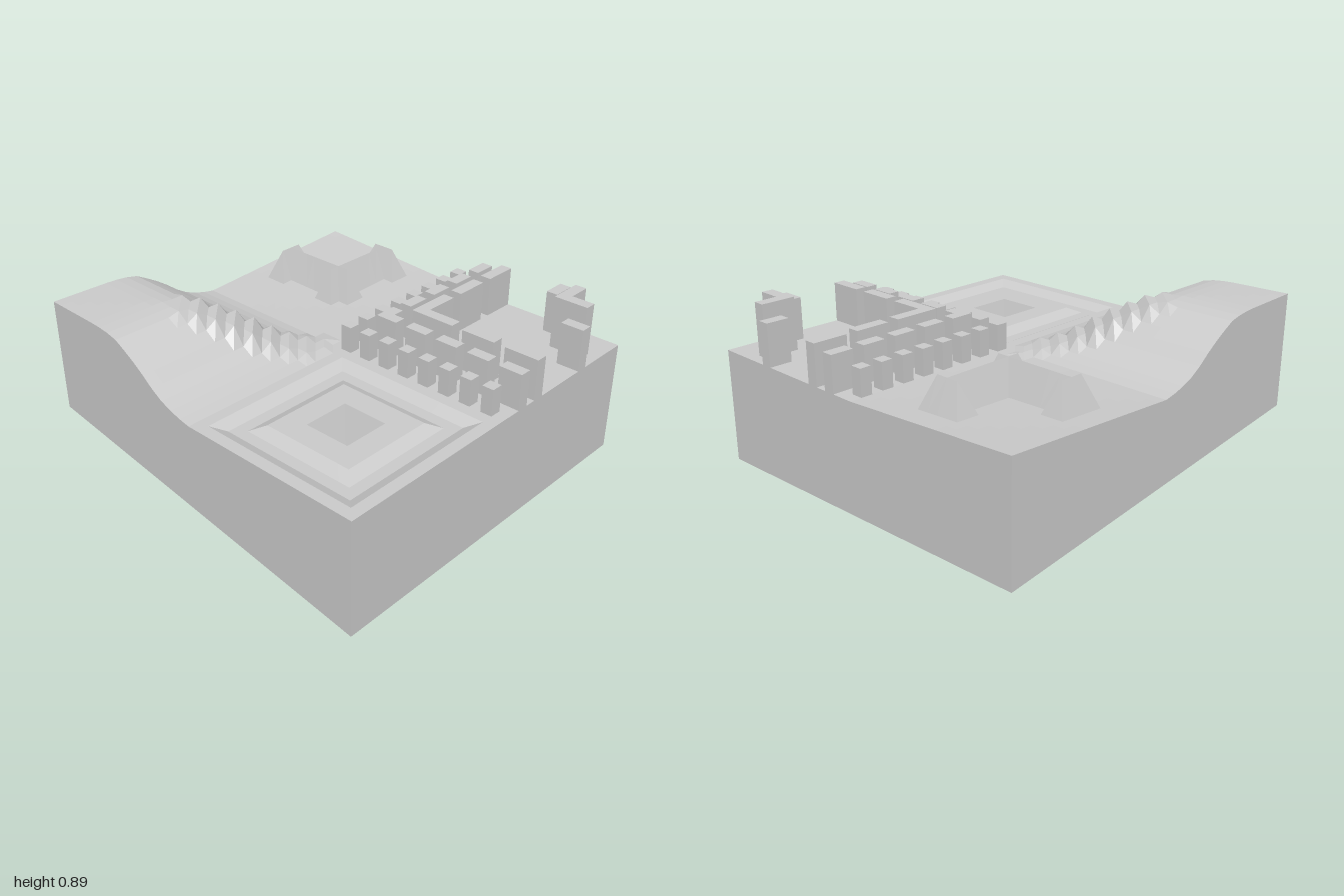
import * as THREE from 'three';

const N = 32, C = 1 / 16, GROUND = 0.61; // a 32 x 32 grid of cells
const mat = new THREE.MeshStandardMaterial({ color: 0xcccccc, flatShading: true });

// hillside profile, one height per cell away from the foot
const PROFILE = [0.61, 0.622, 0.64, 0.665, 0.703, 0.752, 0.795, 0.832, 0.866, 0.88, 0.887, 0.89];
const slope = k => PROFILE[k] ?? 0.89 + 0.001 * (k - 11);

// crest of the earth ramparts, in cells from the centre: bars [x0, x1, z0, z1]
const CRESTS = [
  [-13, -6, -7, -7], [-7, -7, -13, -6], // the two walls, crossing at the corner
  [-13, -13, -8, -6], [-8, -6, -13, -13], // cross heads at the ends
];

// ground height at a grid node, in cells from the centre
function heightAt(i, j) {
  if (i >= 0 && j >= 0) { // square moat around a sunken pit
    const r = Math.max(Math.abs(i - 8), Math.abs(j - 8));
    if (r <= 1) return GROUND - 0.18;
    return r === 5 || r === 6 ? GROUND - 0.03 : GROUND;
  }
  if (i <= 0 && j >= 0) { // hill with a stair up its corner
    const d = j - i;
    if (Math.abs(i + j) <= 2 && d < 20) return slope(Math.floor(d / 2));
    return slope(Math.min(-i, j));
  }
  if (i <= 0) { // gently rising field with ramparts
    if (CRESTS.some(([a, b, c, e]) => i >= a && i <= b && j >= c && j <= e)) return 0.79;
    return GROUND + 0.06 * (i * j) / 256;
  }
  return GROUND;
}

const node = (i, j) => [i * C, heightAt(i, j), j * C];

// underside: its front left-hand corner is lifted along with the hill
const CORNER = { back: 0.06, front: 0.29 };
function under(i, j) {
  const t = (j + 16) / N;
  const edge = CORNER.back + (CORNER.front - CORNER.back) * t;
  return [i * C, edge * (16 - i) / N, j * C];
}

function meshFrom(points, name) {
  const geo = new THREE.BufferGeometry();
  geo.setAttribute('position', new THREE.Float32BufferAttribute(points.flat(), 3));
  geo.computeVertexNormals();
  const mesh = new THREE.Mesh(geo, mat);
  mesh.name = name;
  return mesh;
}

function terrain() {
  const p = [];
  for (let i = -16; i < 16; i++) for (let j = -16; j < 16; j++) {
    const a = node(i, j), b = node(i, j + 1), c = node(i + 1, j + 1), d = node(i + 1, j);
    // split along the fall line for clean mitres; along the treads on the stair
    const acSplit = (i < 0 && j >= 0) || Math.abs(a[1] - c[1]) >= Math.abs(b[1] - d[1]);
    if (acSplit) p.push(a, b, c, a, c, d);
    else p.push(a, b, d, b, c, d);
  }
  return meshFrom(p, 'terrain');
}

function baseBlock() {
  const p = [];
  const wall = (i0, j0, i1, j1) => {
    const a = under(i0, j0), b = under(i1, j1), c = node(i1, j1), d = node(i0, j0);
    p.push(a, b, c, a, c, d);
  };
  for (let k = -16; k < 16; k++) {
    wall(k, 16, k + 1, 16); // front
    wall(k + 1, -16, k, -16); // back
    wall(16, k + 1, 16, k); // +x side
    wall(-16, k, -16, k + 1); // -x side
  }
  const bl = under(-16, -16), br = under(16, -16), fr = under(16, 16), fl = under(-16, 16);
  p.push(bl, br, fl, br, fr, fl);
  return meshFrom(p, 'baseBlock');
}

// extruded block from an outline in cells: x to +x, second number towards the back
function building(outline, top, name) {
  const shape = new THREE.Shape(outline.map(([x, v]) => new THREE.Vector2(x * C, v * C)));
  const geo = new THREE.ExtrudeGeometry(shape, { depth: top - GROUND + 0.005, bevelEnabled: false });
  geo.rotateX(-Math.PI / 2);
  const mesh = new THREE.Mesh(geo, mat);
  mesh.position.y = GROUND - 0.005;
  mesh.name = name;
  return mesh;
}
const rect = (x0, x1, v0, v1) => [[x0, v0], [x1, v0], [x1, v1], [x0, v1]];
// L-shaped outline, one cell thick
const ell = (x, v, w, d) => [[x, v], [x + w, v], [x + w, v + 1], [x + 1, v + 1], [x + 1, v + d], [x, v + d]];

function city() {
  const g = new THREE.Group();
  g.name = 'city';
  const add = (outline, top, name) => g.add(building(outline, top, name));
  // the same row runs along both sides of the quarter
  const both = (start, len, line, top, name) => {
    add(rect(start, start + len, line, line + 1), top, name);
    add(rect(line, line + 1, start, start + len), top, name);
  };
  add(rect(0, 1, 0, 1), 0.75, 'cornerHouse');
  for (let k = 2; k < 16; k += 2) both(k, 1, 0, 0.75, 'smallHouse');
  add(ell(2, 2, 2, 2), 0.8, 'cornerBlock');
  for (let k = 5; k < 16; k += 3) both(k, 2, 2, 0.8, 'middleBlock');
  add(ell(4, 4, 4, 4), 0.825, 'longCornerBlock');
  for (const k of [9, 13]) both(k, 3, 4, 0.825, 'longBlock');
  // towers in the far corner
  add(rect(10, 11, 14, 16), 0.835, 'tower');
  add(rect(14, 16, 10, 11), 0.835, 'tower');
  add(ell(12, 12, 3, 3), 0.89, 'tallTower');
  return g;
}

export function createModel() {
  const model = new THREE.Group();
  model.name = 'landscapeBlock';
  model.add(terrain(), baseBlock(), city());
  return model;
}
